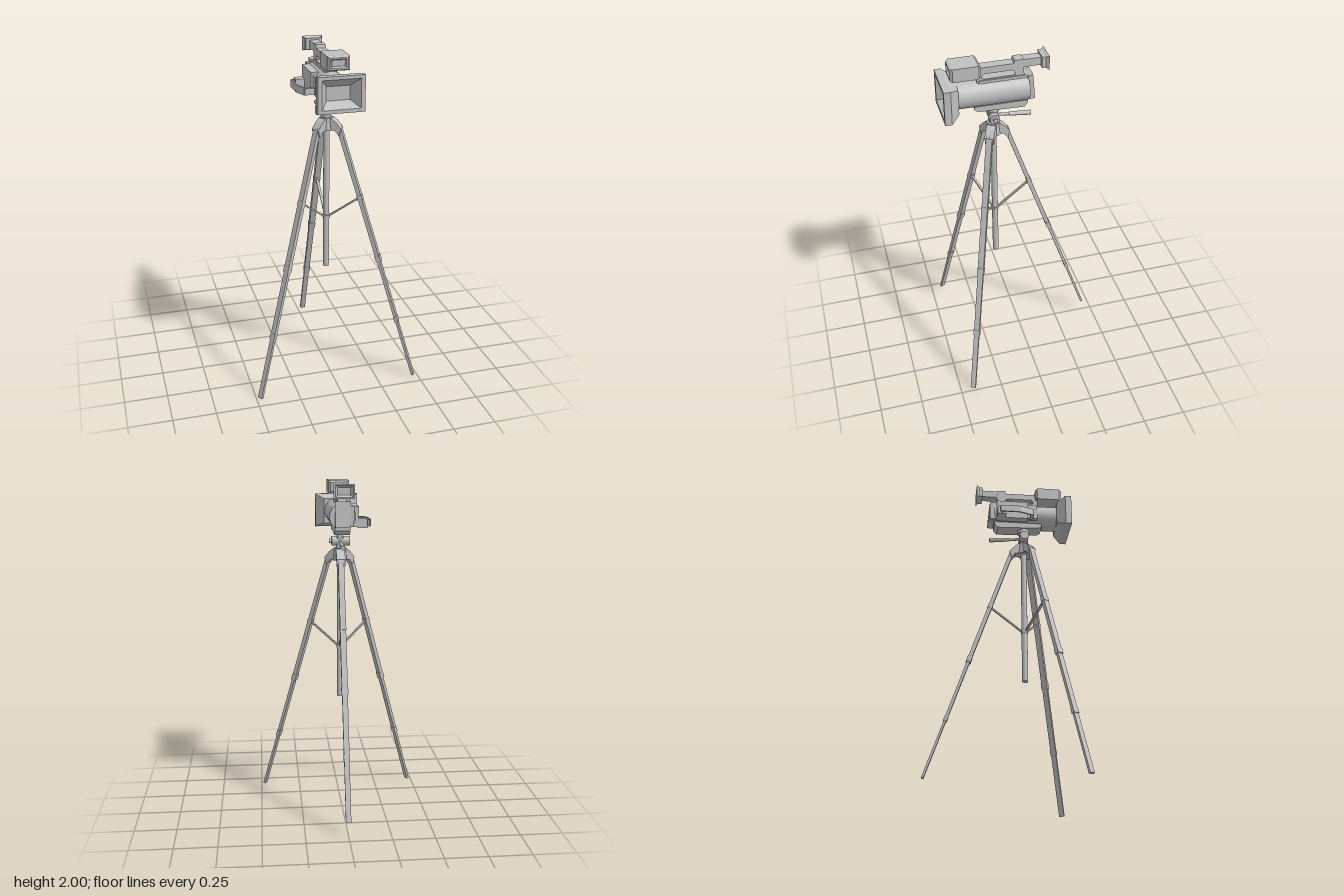
import * as THREE from 'three';

const grey = new THREE.MeshStandardMaterial({ color: 0xc0c0c0 });
grey.name = 'light grey';

function add(parent, name, geometry, x = 0, y = 0, z = 0) {
  const m = new THREE.Mesh(geometry, grey);
  m.name = name;
  m.position.set(x, y, z);
  parent.add(m);
  return m;
}

const box = (parent, name, x0, x1, y0, y1, z0, z1) =>
  add(parent, name, new THREE.BoxGeometry(x1 - x0, y1 - y0, z1 - z0),
    (x0 + x1) / 2, (y0 + y1) / 2, (z0 + z1) / 2);

// Bar between two points: w is its level width, t its other thickness
function beam(parent, name, a, b, w, t) {
  const A = new THREE.Vector3(...a), B = new THREE.Vector3(...b);
  const m = new THREE.Mesh(new THREE.BoxGeometry(w, t, A.distanceTo(B)), grey);
  m.name = name;
  m.position.copy(A).add(B).multiplyScalar(0.5);
  m.lookAt(B);
  parent.add(m);
  return m;
}

// Skin over rectangles [z, halfWidth, bottom, top], capped at both ends.
// Rectangles that turn back inwards make a recess.
function loft(sections) {
  const rings = sections.map(([z, w, y0, y1]) => [[w, y0, z], [w, y1, z], [-w, y1, z], [-w, y0, z]]);
  const pos = [];
  const quad = (a, b, c, d) => pos.push(...a, ...b, ...c, ...a, ...c, ...d);
  for (let s = 0; s < rings.length - 1; s++) {
    const a = rings[s], b = rings[s + 1];
    for (let i = 0; i < 4; i++) quad(a[i], a[(i + 1) % 4], b[(i + 1) % 4], b[i]);
  }
  quad(...[...rings[0]].reverse());
  quad(...rings[rings.length - 1]);
  const g = new THREE.BufferGeometry();
  g.setAttribute('position', new THREE.Float32BufferAttribute(pos, 3));
  g.computeVertexNormals();
  return g;
}

// Side profile of (z, y) points, extruded across x
function sideExtrude(points, width, hole) {
  const vec = (list) => list.map((p) => new THREE.Vector2(...p));
  const shape = new THREE.Shape(vec(points));
  if (hole) shape.holes.push(new THREE.Path(vec(hole)));
  return new THREE.ExtrudeGeometry(shape, { depth: width, bevelEnabled: false })
    .rotateY(-Math.PI / 2).translate(width / 2, 0, 0);
}

// One leg pointing along local +z, ending at the given foot
function buildLeg(footR, footY) {
  const leg = new THREE.Group();
  leg.name = 'leg';
  const top = [0, 1.55, 0.073], foot = [0, footY, footR];
  const at = (t) => top.map((v, i) => v + (foot[i] - v) * t);
  beam(leg, 'upperLeg', at(0), at(0.51), 0.035, 0.024);
  beam(leg, 'middleLeg', at(0.51), at(0.76), 0.033, 0.018);
  beam(leg, 'lowerLeg', at(0.76), at(1), 0.031, 0.014);
  beam(leg, 'legClamp', at(0.495), at(0.52), 0.039, 0.029);
  beam(leg, 'legClamp', at(0.75), at(0.772), 0.037, 0.022);
  beam(leg, 'braceCollar', at(0.258), at(0.276), 0.037, 0.029);
  beam(leg, 'brace', [0, 1.0, 0.012], at(0.267), 0.014, 0.009);
  add(leg, 'shoulderArm', sideExtrude(
    [[0, 1.6], [0.035, 1.6], [0.06, 1.58], [0.09, 1.545], [0.078, 1.5], [0.055, 1.53], [0, 1.54]], 0.052));
  return leg;
}

function buildTripod() {
  const tripod = new THREE.Group();
  tripod.name = 'tripod';
  tripod.position.z = 0.148;
  for (const [angle, r, y] of [[60, 0.55, 0.002], [-60, 0.55, 0.002], [180, 0.58, 0.085]]) {
    const leg = buildLeg(r, y);
    leg.rotation.y = THREE.MathUtils.degToRad(angle);
    tripod.add(leg);
  }
  const post = (name, r0, r1, y0, y1, n = 20) =>
    add(tripod, name, new THREE.CylinderGeometry(r1, r0, y1 - y0, n), 0, (y0 + y1) / 2, 0);
  post('centreColumn', 0.018, 0.018, 0.68, 1.55, 12);
  post('braceRing', 0.022, 0.022, 0.99, 1.01, 12);
  post('hub', 0.042, 0.036, 1.53, 1.605);
  post('neck', 0.024, 0.024, 1.6, 1.63);
  post('panCollar', 0.029, 0.029, 1.62, 1.668);
  post('headNeck', 0.02, 0.02, 1.66, 1.69);
  post('headPlate', 0.036, 0.036, 1.682, 1.705);
  // Tilt head and its handle
  add(tripod, 'tiltBarrel', new THREE.CylinderGeometry(0.028, 0.028, 0.11, 20).rotateZ(Math.PI / 2), -0.005, 1.645, 0);
  add(tripod, 'tiltKnob', new THREE.CylinderGeometry(0.013, 0.013, 0.02, 12).rotateZ(Math.PI / 2), 0.055, 1.645, 0);
  const rod = (name, z0, z1, y0, y1, r0, r1) => {
    const len = Math.hypot(z1 - z0, y1 - y0);
    const m = add(tripod, name, new THREE.CylinderGeometry(r1, r0, len, 12).rotateX(Math.PI / 2),
      0, (y0 + y1) / 2, (z0 + z1) / 2);
    m.rotation.x = Math.atan2(y0 - y1, z1 - z0);
  };
  rod('panHandleRod', -0.02, -0.1, 1.647, 1.638, 0.008, 0.008);
  rod('panHandleGrip', -0.09, -0.215, 1.64, 1.629, 0.011, 0.014);
  return tripod;
}

function buildCamera() {
  const cam = new THREE.Group();
  cam.name = 'videoCamera';
  add(cam, 'body', new THREE.CylinderGeometry(0.077, 0.077, 0.405, 40).rotateX(Math.PI / 2), 0, 1.805, 0.158);

  // Lens hood with a funnel-shaped opening
  add(cam, 'lensHood', loft([
    [0.352, 0.08, 1.73, 1.88], [0.402, 0.13, 1.705, 1.905], [0.44, 0.13, 1.705, 1.905],
    [0.44, 0.107, 1.725, 1.887], [0.37, 0.066, 1.757, 1.835]]));

  // Box above the lens, with a stepped front recess
  add(cam, 'topBox', loft([
    [0.222, 0.05, 1.93, 1.985], [0.234, 0.062, 1.918, 1.996], [0.375, 0.062, 1.918, 1.996],
    [0.39, 0.05, 1.925, 1.99], [0.39, 0.042, 1.935, 1.982], [0.375, 0.036, 1.942, 1.975]]));

  // Carrying handle with an opening for the hand
  add(cam, 'carryHandle', sideExtrude(
    [[0.24, 1.872], [0.24, 1.965], [0.035, 1.965], [0.03, 1.984], [-0.02, 1.984], [-0.022, 1.9], [-0.03, 1.872]],
    0.056, [[0.215, 1.905], [0.2, 1.926], [0.04, 1.926], [0.032, 1.915], [0.025, 1.898], [0.2, 1.896]]));
  box(cam, 'handleRail', -0.035, 0.035, 1.865, 1.89, -0.04, 0.23);

  // Viewfinder with a hollow eyecup facing backwards
  box(cam, 'viewfinderTube', -0.026, 0.026, 1.935, 1.98, -0.125, 0);
  add(cam, 'eyecup', loft([
    [0.116, 0.047, 1.925, 1.99], [0.138, 0.047, 1.925, 1.99], [0.154, 0.06, 1.915, 1.998],
    [0.154, 0.05, 1.923, 1.99], [0.13, 0.036, 1.935, 1.978]])).rotation.y = Math.PI;

  // Rear panel and battery
  add(cam, 'rearPanel', sideExtrude(
    [[-0.035, 1.742], [-0.04, 1.886], [-0.067, 1.895], [-0.08, 1.745]], 0.09));
  box(cam, 'rearSidePanel', -0.064, -0.04, 1.75, 1.87, -0.07, -0.03);

  // Base plate under the body
  add(cam, 'basePlate', sideExtrude(
    [[0.26, 1.74], [0.26, 1.722], [0.24, 1.708], [-0.02, 1.7], [-0.04, 1.725], [-0.04, 1.74]], 0.09));

  // Grip pod and hand strap on the side
  box(cam, 'sidePanel', -0.094, -0.05, 1.745, 1.865, -0.03, 0.168);
  box(cam, 'sidePanelFront', -0.084, -0.05, 1.755, 1.85, 0.165, 0.228);
  box(cam, 'gripBlock', -0.145, -0.09, 1.74, 1.795, -0.028, 0.026);
  const strap = [[-0.145, 0.002], [-0.162, -0.01], [-0.162, 0.11], [-0.135, 0.19]];
  box(cam, 'strapMount', -0.137, -0.08, 1.748, 1.785, 0.18, 0.2);
  for (let i = 0; i < strap.length - 1; i++) {
    const [a, b] = [strap[i], strap[i + 1]];
    beam(cam, 'handStrap', [a[0], 1.767, a[1]], [b[0], 1.767, b[1]], 0.009, 0.042);
  }
  return cam;
}

export function createModel() {
  const model = new THREE.Group();
  model.name = 'cameraOnTripod';
  model.add(buildTripod(), buildCamera());
  return model;
}
